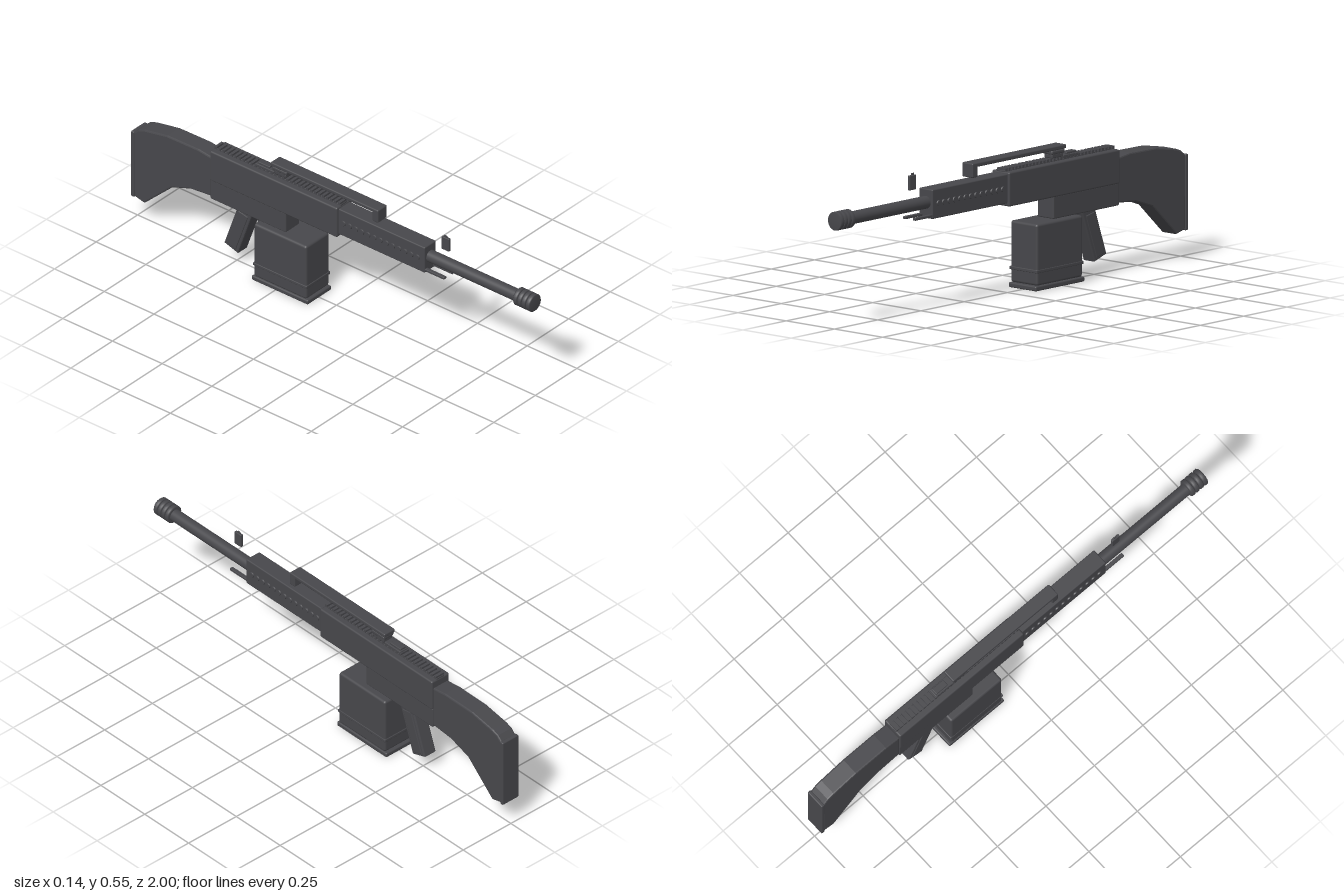
import * as THREE from 'three';
import { RoundedBoxGeometry } from 'three/addons/geometries/RoundedBoxGeometry.js';

export function createModel() {
  const model = new THREE.Group();
  const darkMetal = new THREE.MeshStandardMaterial({ color: 0x47474b });
  darkMetal.name = 'darkMetal';

  const add = (name, geometry, x = 0, y = 0, z = 0) => {
    const mesh = new THREE.Mesh(geometry, darkMetal);
    mesh.name = name;
    mesh.position.set(x, y, z);
    model.add(mesh);
    return mesh;
  };
  // Box given by half width and its y and z ranges, with softened edges
  const block = (name, hw, y0, y1, z0, z1, r = 0.004, x = 0) =>
    add(name, new RoundedBoxGeometry(hw * 2, y1 - y0, z1 - z0, 2, r), x, (y0 + y1) / 2, (z0 + z1) / 2);
  // Side profile of [z, y] points, extruded across x with a bevel
  const sideProfile = (name, points, hw, bevel) => {
    const shape = new THREE.Shape(points.map(([z, y]) => new THREE.Vector2(-z, y)));
    const geometry = new THREE.ExtrudeGeometry(shape, {
      depth: 2 * (hw - bevel), bevelEnabled: true, bevelThickness: bevel,
      bevelSize: bevel, bevelOffset: -bevel, bevelSegments: 2,
    });
    geometry.translate(0, 0, -(hw - bevel));
    geometry.rotateY(Math.PI / 2);
    return add(name, geometry);
  };
  const lathe = (name, points, y) => {
    const geometry = new THREE.LatheGeometry(points.map(([r, z]) => new THREE.Vector2(r, z)), 32);
    geometry.rotateX(Math.PI / 2);
    return add(name, geometry, 0, y, 0);
  };

  // Barrel and ringed muzzle
  const axis = 0.423;
  const barrel = new THREE.CylinderGeometry(0.025, 0.025, 0.5, 32).rotateX(Math.PI / 2);
  add('barrel', barrel, 0, axis, 0.69);
  const muzzle = new THREE.CylinderGeometry(0.031, 0.031, 0.08, 32).rotateX(Math.PI / 2);
  add('muzzleCore', muzzle, 0, axis, 0.957);
  for (let i = 0; i < 4; i++) {
    const z = 0.915 + i * 0.0215;
    lathe('muzzleRing', [[0, z], [0.033, z], [0.037, z + 0.004], [0.037, z + 0.0165], [0.033, z + 0.0205], [0, z + 0.0205]], axis);
  }

  // Handguard with round studs along both sides
  block('handguard', 0.035, 0.36, 0.476, 0.03, 0.472, 0.005);
  for (const side of [-1, 1]) {
    for (let i = 0; i < 13; i++) {
      const stud = new THREE.CylinderGeometry(0.01, 0.012, 0.006, 16).rotateZ(-side * Math.PI / 2);
      add('handguardStud', stud, side * 0.0365, 0.42, 0.065 + i * 0.031);
    }
    block('guideRod', 0.008, 0.367, 0.378, 0.46, 0.568, 0.003, side * 0.025);
  }

  // Upper and lower receiver
  block('upperReceiver', 0.046, 0.348, 0.483, -0.6, 0.04, 0.007);
  block('lowerReceiver', 0.042, 0.262, 0.352, -0.6, -0.22, 0.005);

  // Toothed top rail
  block('railBase', 0.02, 0.478, 0.487, -0.598, 0.038, 0.002);
  for (let i = 0; i < 32; i++) {
    add('railTooth', new THREE.BoxGeometry(0.042, 0.012, 0.011), 0, 0.489, 0.03 - i * 0.02);
  }

  // Long top bar with its front foot and rear mount
  block('topBar', 0.028, 0.526, 0.543, -0.31, 0.232, 0.005);
  block('topBarFoot', 0.028, 0.486, 0.543, 0.202, 0.232, 0.005);
  block('rearMountUpper', 0.026, 0.51, 0.526, -0.305, -0.23, 0.006);
  block('rearMountLower', 0.022, 0.495, 0.512, -0.3, -0.235, 0.004);
  block('rearSightBase', 0.02, 0.487, 0.5, -0.39, -0.3, 0.003);
  block('rearSightLeaf', 0.014, 0.498, 0.508, -0.385, -0.325, 0.003);

  // Separate front sight
  block('frontSight', 0.006, 0.483, 0.541, 0.532, 0.57, 0.003);
  block('frontSightTip', 0.002, 0.538, 0.549, 0.542, 0.556, 0.001);

  // Stock and butt plate
  sideProfile('stock', [
    [-0.595, 0.272], [-0.7, 0.262], [-0.797, 0.228], [-0.935, 0.1], [-0.985, 0.112],
    [-0.99, 0.4], [-0.965, 0.425], [-0.935, 0.436], [-0.82, 0.457], [-0.665, 0.459], [-0.595, 0.45],
  ], 0.039, 0.006);
  block('buttPlate', 0.042, 0.108, 0.408, -1, -0.983, 0.005);

  // Grip with raised side panels, and trigger
  sideProfile('grip', [[-0.395, 0.275], [-0.472, 0.057], [-0.541, 0.079], [-0.472, 0.275]], 0.03, 0.005);
  sideProfile('gripPanel', [[-0.419, 0.245], [-0.481, 0.072], [-0.526, 0.086], [-0.466, 0.255]], 0.033, 0.003);
  block('trigger', 0.006, 0.225, 0.268, -0.395, -0.383, 0.003);

  // Box magazine with band and base plate
  block('magazine', 0.07, 0.02, 0.262, -0.358, -0.094, 0.01);
  block('magazineBand', 0.072, 0.07, 0.083, -0.361, -0.091, 0.003);
  block('magazineBase', 0.072, 0, 0.02, -0.368, -0.085, 0.006);

  return model;
}
